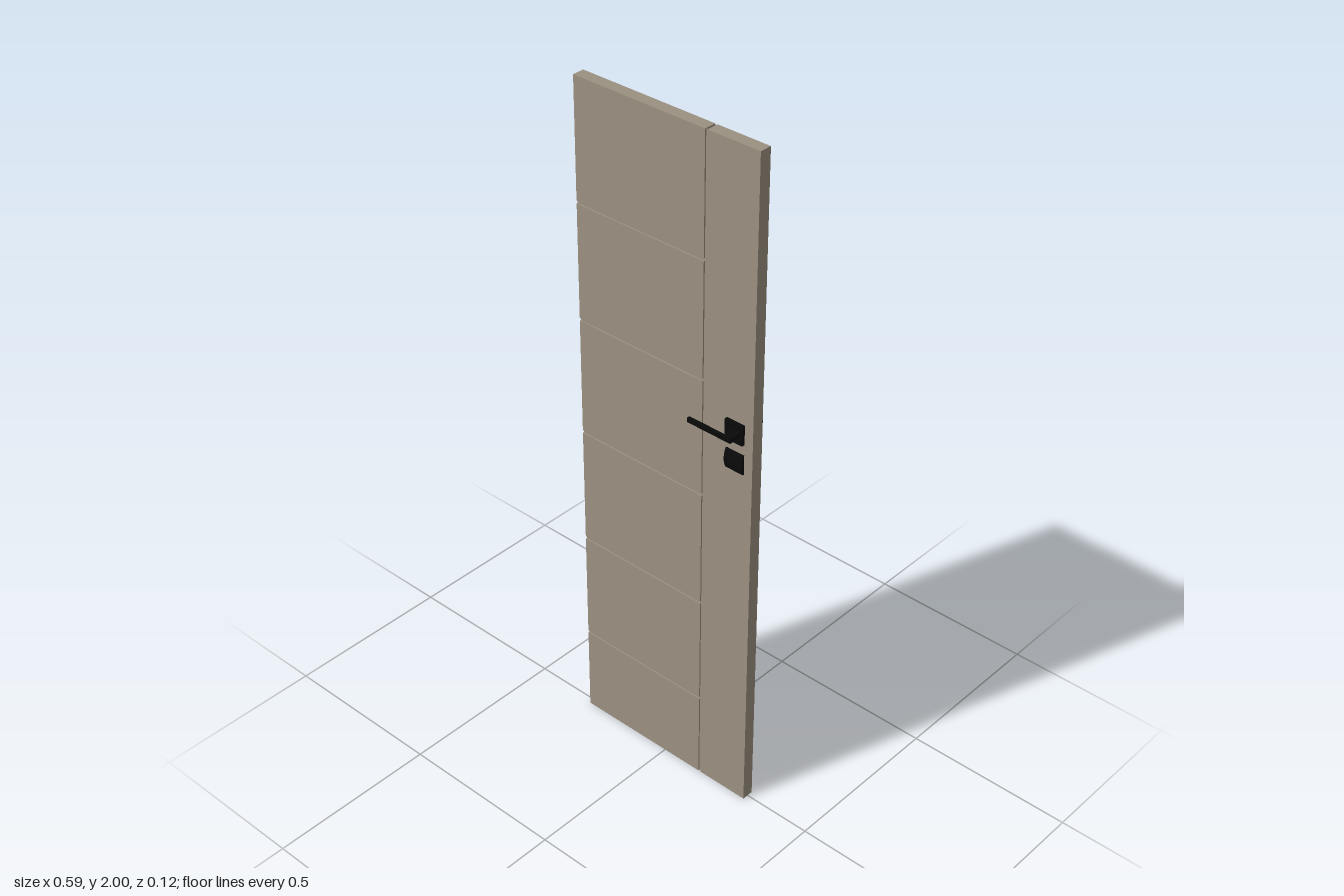
import * as THREE from 'three';

export function createModel() {
  const door = new THREE.Group();
  door.name = 'door';
  const wood = new THREE.MeshStandardMaterial({ name: 'taupe wood', color: 0x9c9181 });
  const black = new THREE.MeshStandardMaterial({ name: 'black metal', color: 0x0a0a0a });

  const HALF = 0.0175;     // half the leaf thickness
  const CORE = 0.0135;     // half thickness at the bottom of the grooves
  const GROOVE = 0.008;
  const LEFT = -0.295, SPLIT = 0.127, STILE = 0.134, RIGHT = 0.294;

  const add = (parent, name, geometry, material) => {
    const mesh = new THREE.Mesh(geometry, material);
    mesh.name = name;
    parent.add(mesh);
    return mesh;
  };
  // Box given by its limits on each axis
  const block = (parent, name, material, x0, x1, y0, y1, z0, z1) => {
    const mesh = add(parent, name, new THREE.BoxGeometry(x1 - x0, y1 - y0, z1 - z0), material);
    mesh.position.set((x0 + x1) / 2, (y0 + y1) / 2, (z0 + z1) / 2);
    return mesh;
  };

  // Plain stile on the lock side
  block(door, 'lockStile', wood, STILE, RIGHT, 0, 2, -HALF, HALF);

  // Stacked panels with a recessed strip in each horizontal groove
  const grooves = [0.271, 0.607, 0.962, 1.313, 1.654];
  let bottom = 0;
  for (const y of [...grooves, null]) {
    const top = y === null ? 2 : y - GROOVE / 2;
    block(door, 'panel', wood, LEFT, SPLIT, bottom, top, -HALF, HALF);
    if (y !== null) {
      bottom = y + GROOVE / 2;
      block(door, 'grooveStrip', wood, LEFT, SPLIT, top, bottom, -CORE, CORE);
    }
  }

  // One handle set and one vertical groove face per side
  const profile = new THREE.Shape();
  profile.moveTo(-0.029, 0);
  profile.lineTo(0.029, 0);
  profile.lineTo(0.029, 0.004);
  profile.quadraticCurveTo(0, 0.017, -0.029, 0.004);
  profile.closePath();

  for (const side of [1, -1]) {
    const floor = add(door, 'verticalGroove', new THREE.PlaneGeometry(STILE - SPLIT, 2), wood);
    floor.position.set((SPLIT + STILE) / 2, 1, side * CORE);
    if (side < 0) floor.rotation.y = Math.PI;

    const handle = new THREE.Group();
    handle.name = side > 0 ? 'frontHandle' : 'backHandle';
    door.add(handle);
    const part = (name, x0, x1, y0, y1, z0, z1) => block(handle, name, black, x0, x1, y0, y1,
      Math.min(side * z0, side * z1), Math.max(side * z0, side * z1));
    part('rosette', 0.209, 0.267, 1.183, 1.241, HALF, 0.027);
    part('neck', 0.233, 0.258, 1.205, 1.219, 0.027, 0.062);
    part('lever', 0.117, 0.233, 1.205, 1.219, 0.054, 0.062);

    // Square lock plate with a gently bowed face
    const plate = add(handle, 'lockPlate', new THREE.ExtrudeGeometry(profile,
      { depth: 0.058, bevelEnabled: false, curveSegments: 12 }), black);
    plate.geometry.translate(0, 0, -0.029);
    plate.rotation.set(side * Math.PI / 2, side * Math.PI / 2, 0, 'XYZ');
    // Profile x runs along y, profile y runs outward, extrusion runs along x
    const basis = new THREE.Matrix4().makeBasis(
      new THREE.Vector3(0, side, 0), new THREE.Vector3(0, 0, side), new THREE.Vector3(1, 0, 0));
    plate.quaternion.setFromRotationMatrix(basis);
    plate.position.set(0.238, 1.122, side * HALF);
  }
  return door;
}
